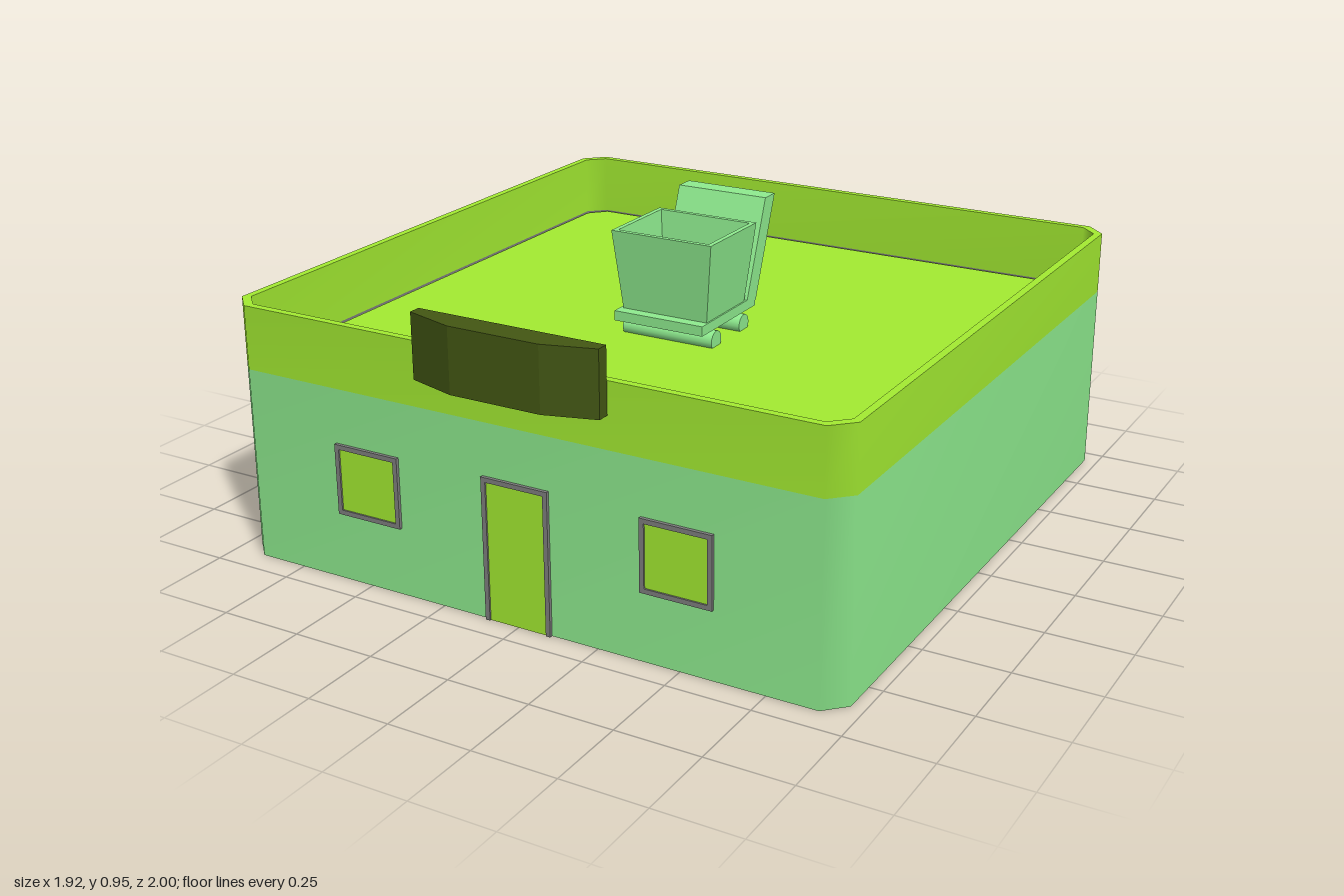
import * as THREE from 'three';

const paint = (color) => new THREE.MeshStandardMaterial({ color });
const lime = paint(0xa5ee32), mint = paint(0x90ee90), grey = paint(0x808080), olive = paint(0x445814);

// Rectangle with chamfered corners, as [x, z] points running from +x towards +z
function outline(x0, x1, z0, z1, c) {
  if (!c) return [[x1, z0], [x1, z1], [x0, z1], [x0, z0]];
  return [[x1, z0 + c], [x1, z1 - c], [x1 - c, z1], [x0 + c, z1],
    [x0, z1 - c], [x0, z0 + c], [x0 + c, z0], [x1 - c, z0]];
}

// Closed strip of quads joining loop a at height ya to loop b at height yb
function strip(a, ya, b, yb, flat = false) {
  const n = a.length, pos = [], index = [];
  a.forEach(([x, z]) => pos.push(x, ya, z));
  b.forEach(([x, z]) => pos.push(x, yb, z));
  for (let i = 0; i < n; i++) {
    const j = (i + 1) % n;
    index.push(i, n + i, j, n + i, n + j, j);
  }
  let g = new THREE.BufferGeometry();
  g.setAttribute('position', new THREE.Float32BufferAttribute(pos, 3));
  g.setIndex(index);
  if (flat) g = g.toNonIndexed();
  g.computeVertexNormals();
  return g;
}

// Horizontal slab cut from an [x, z] outline
function slab(points, y0, y1) {
  const shape = new THREE.Shape(points.map(([x, z]) => new THREE.Vector2(x, -z)));
  return new THREE.ExtrudeGeometry(shape, { depth: y1 - y0, bevelEnabled: false })
    .rotateX(-Math.PI / 2).translate(0, y0, 0);
}

const box = (x0, x1, y0, y1, z0, z1) => new THREE.BoxGeometry(x1 - x0, y1 - y0, z1 - z0)
  .translate((x0 + x1) / 2, (y0 + y1) / 2, (z0 + z1) / 2);

function add(parent, name, geometry, material) {
  const mesh = new THREE.Mesh(geometry, material);
  mesh.name = name;
  parent.add(mesh);
  return mesh;
}

function group(parent, name) {
  const g = new THREE.Group();
  g.name = name;
  parent.add(g);
  return g;
}

// Framed opening on the front wall; the panel shows inside as well
function opening(parent, name, x0, x1, y0, y1, sill) {
  const g = group(parent, name), t = 0.014, bottom = sill ? y0 + t : y0;
  add(g, 'panel', box(x0 + t, x1 - t, bottom, y1 - t, 0.885, 0.925), lime);
  add(g, 'leftFrame', box(x1 - t, x1, y0, y1, 0.9, 0.93), grey);
  add(g, 'rightFrame', box(x0, x0 + t, y0, y1, 0.9, 0.93), grey);
  add(g, 'topFrame', box(x0 + t, x1 - t, y1 - t, y1, 0.9, 0.93), grey);
  if (sill) add(g, 'bottomFrame', box(x0 + t, x1 - t, y0, y0 + t, 0.9, 0.93), grey);
}

function buildCart(parent) {
  const cart = group(parent, 'cart');
  // Flared hollow bin
  const top = outline(-0.155, 0.175, -0.105, 0.172), bottom = outline(-0.13, 0.15, -0.08, 0.15);
  const rim = outline(-0.14, 0.16, -0.09, 0.157), floor = outline(-0.118, 0.138, -0.068, 0.138);
  const bin = group(cart, 'bin');
  add(bin, 'outside', strip(bottom, 0.665, top, 0.905, true), mint);
  add(bin, 'rim', strip(top, 0.905, rim, 0.905, true), mint);
  add(bin, 'inside', strip(rim, 0.905, floor, 0.68, true), mint);
  add(bin, 'floor', slab(floor, 0.665, 0.68), mint);
  add(cart, 'base', box(-0.14, 0.155, 0.635, 0.665, -0.14, 0.185), mint);
  // Leaning back board, sheared backwards with height
  const back = box(-0.14, 0.155, 0.65, 0.955, -0.145, -0.085);
  const p = back.attributes.position;
  for (let i = 0; i < p.count; i++) p.setZ(i, p.getZ(i) - (p.getY(i) - 0.65) * 0.378);
  back.computeVertexNormals();
  add(cart, 'backBoard', back, mint);
  // Rollers, sunk slightly into the roof
  for (const z of [-0.07, 0.1]) {
    add(cart, 'roller', new THREE.CylinderGeometry(0.03, 0.03, 0.3, 16)
      .rotateZ(Math.PI / 2).translate(0.005, 0.597, z), mint);
  }
}

export function createModel() {
  const model = new THREE.Group();
  model.name = 'shop';
  const outer = outline(-0.96, 0.96, -1, 0.92, 0.06);
  const inner = outline(-0.937, 0.937, -0.977, 0.897, 0.05);

  // Lower walls with a grey lining
  const walls = group(model, 'walls');
  add(walls, 'outerWall', strip(outer, 0, outer, 0.58), mint);
  add(walls, 'wallLining', strip(inner, 0.58, inner, 0), grey);
  add(walls, 'wallFoot', strip(inner, 0, outer, 0), grey);

  // Parapet band
  const parapet = group(model, 'parapet');
  add(parapet, 'parapetOutside', strip(outer, 0.58, outer, 0.77), lime);
  add(parapet, 'parapetTop', strip(outer, 0.77, inner, 0.77), lime);
  add(parapet, 'parapetInside', strip(inner, 0.77, inner, 0.58), lime);

  // Roof deck, with a narrow gap around it and a notch for the platform
  add(model, 'roof', slab([
    [0.924, -0.91], [0.924, 0.835], [0.875, 0.883], [0.302, 0.883], [0.302, 0.744], [0.152, 0.594],
    [-0.152, 0.594], [-0.302, 0.744], [-0.302, 0.883], [-0.875, 0.883], [-0.924, 0.835],
    [-0.924, -0.91], [-0.875, -0.963], [0.875, -0.963],
  ], 0.57, 0.58), lime);
  add(model, 'entrancePlatform', slab([
    [0.29, 0.9], [0.29, 0.749], [0.147, 0.606], [-0.147, 0.606], [-0.29, 0.749], [-0.29, 0.9],
  ], 0.585, 0.62), lime);

  // Sign board with angled ends
  add(model, 'signBoard', slab([
    [-0.29, 0.92], [-0.29, 0.956], [-0.14, 1], [0.14, 1], [0.29, 0.956], [0.29, 0.92],
  ], 0.675, 0.865), olive);

  // Door and windows
  opening(model, 'door', -0.105, 0.105, 0, 0.425, false);
  for (const s of [-1, 1]) opening(model, 'window', s * 0.492 - 0.107, s * 0.492 + 0.107, 0.205, 0.417, true);
  add(model, 'sidePanel', box(-0.95, -0.925, 0.18, 0.38, -0.46, 0.31), mint);

  buildCart(model);
  return model;
}
